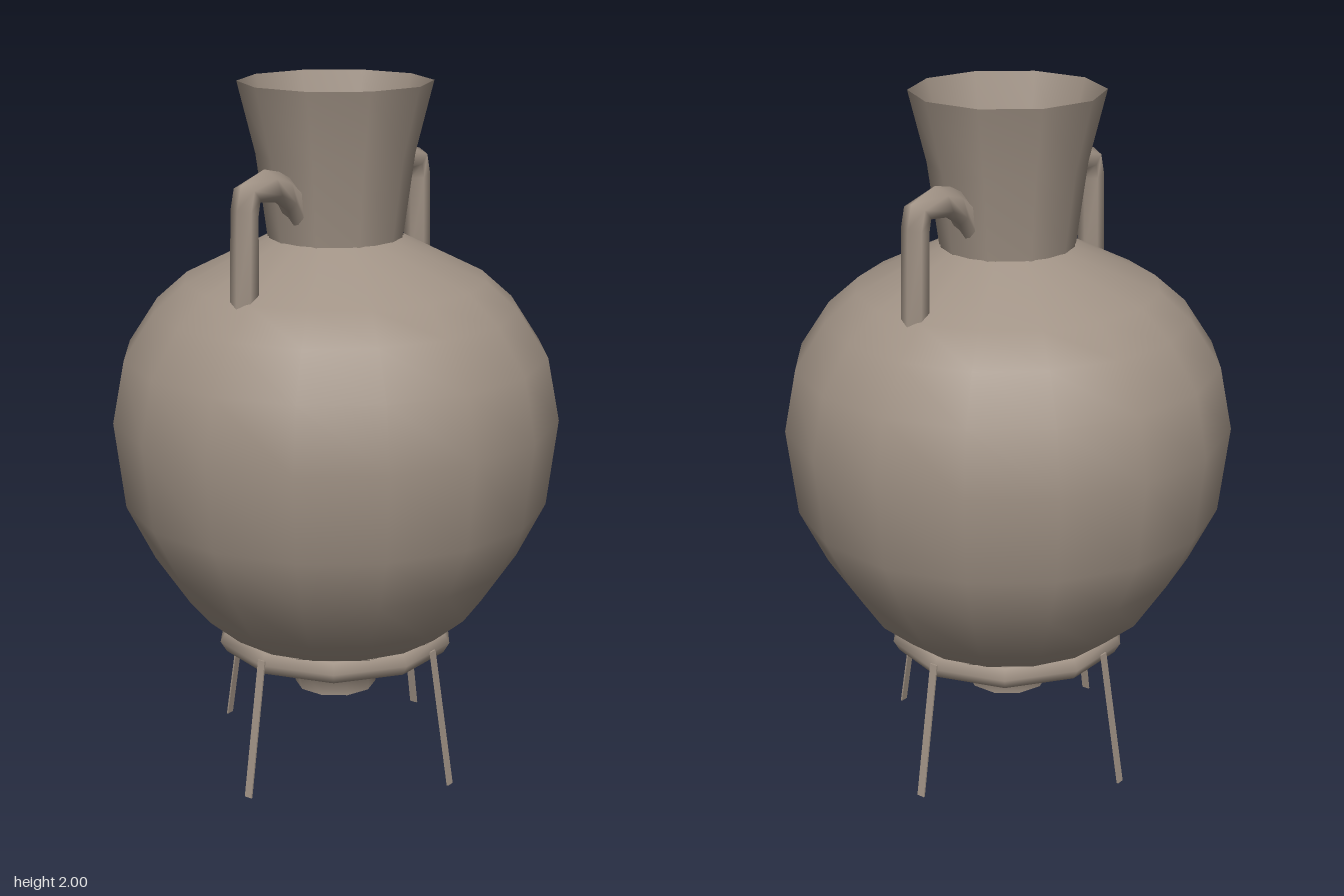
import * as THREE from 'three';

export function createModel() {
  const model = new THREE.Group();
  const clay = new THREE.MeshStandardMaterial({ color: 0xa09285, side: THREE.DoubleSide });
  clay.name = 'clay';

  const add = (name, geometry, parent = model) => {
    const mesh = new THREE.Mesh(geometry, clay);
    mesh.name = name;
    parent.add(mesh);
    return mesh;
  };
  const lathe = (profile, sides, start = 0) => new THREE.LatheGeometry(
    profile.map(([r, y]) => new THREE.Vector2(r, y)), sides, start);

  // Tapered foot and round belly
  add('foot', lathe([[0, 0.22], [0.12, 0.22]], 10));
  add('footWall', lathe([[0.12, 0.22], [0.125, 0.29], [0.21, 0.35], [0.335, 0.42]], 10));
  add('belly', lathe([[0.335, 0.42], [0.43, 0.5], [0.53, 0.65], [0.61, 0.81], [0.64, 1.06],
    [0.605, 1.24], [0.52, 1.37], [0.43, 1.45], [0.19, 1.57]], 16, 0.08));

  // Flared neck: outer wall, inner wall and the ledge joining it to the belly
  add('neck', lathe([[0.19, 1.565], [0.222, 1.8], [0.272, 2]], 10, 0.05));
  add('neckInside', lathe([[0.272, 2], [0.21, 1.8], [0.155, 1.57]], 10, 0.05));
  add('neckLedge', lathe([[0.155, 1.57], [0.19, 1.565]], 10, 0.05));

  // Handle swept through pairs of outer and inner edge points
  const handlePath = [
    [0.44, 1.41, 0.37, 1.45],
    [0.43, 1.7, 0.368, 1.68],
    [0.412, 1.765, 0.362, 1.712],
    [0.315, 1.795, 0.27, 1.7],
    [0.25, 1.78, 0.21, 1.665],
    [0.19, 1.75, 0.165, 1.58],
  ];
  const sides = 6, position = [], index = [];
  handlePath.forEach(([ox, oy, ix, iy], k) => {
    for (let j = 0; j < sides; j++) {
      const a = (j / sides) * Math.PI * 2, c = Math.cos(a) / 2;
      position.push((ox + ix) / 2 + (ox - ix) * c, (oy + iy) / 2 + (oy - iy) * c, Math.sin(a) * 0.041);
      if (k === 0) continue;
      const n = (j + 1) % sides, p = (k - 1) * sides, q = k * sides;
      index.push(p + j, q + j, p + n, p + n, q + j, q + n);
    }
  });
  const handleShape = new THREE.BufferGeometry();
  handleShape.setAttribute('position', new THREE.Float32BufferAttribute(position, 3));
  handleShape.setIndex(index);
  handleShape.computeVertexNormals();
  add('leftHandle', handleShape);
  add('rightHandle', handleShape).rotation.y = Math.PI;

  // Stand: ring with four thin splayed legs
  const stand = new THREE.Group();
  stand.name = 'stand';
  model.add(stand);
  const ring = new THREE.TorusGeometry(0.315, 0.036, 6, 10);
  ring.rotateX(Math.PI / 2);
  ring.translate(0, 0.385, 0);
  add('standRing', ring, stand);

  const leg = new THREE.BoxGeometry(0.024, 0.4, 0.005);
  const p = leg.attributes.position;
  for (let i = 0; i < p.count; i++) {
    p.setZ(i, p.getZ(i) + (p.getY(i) > 0 ? 0.348 : 0.415));
  }
  leg.translate(0, 0.2, 0);
  leg.computeVertexNormals();
  for (let i = 0; i < 4; i++) add('standLeg', leg, stand).rotation.y = i * Math.PI / 2;

  return model;
}
